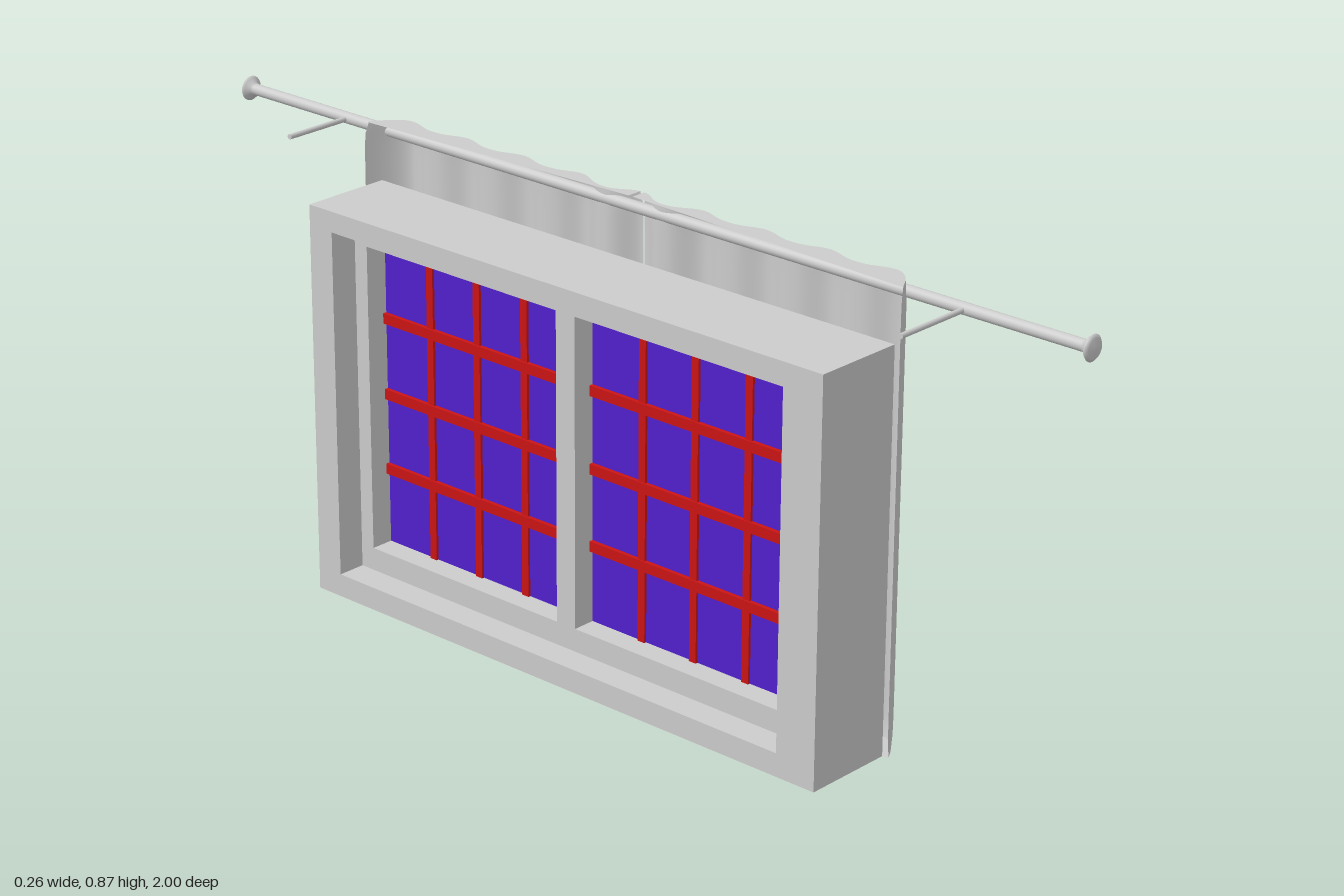
import * as THREE from 'three';

const grey = new THREE.MeshStandardMaterial({ color: 0xcccccc });
const cloth = new THREE.MeshStandardMaterial({ color: 0xcccccc, side: THREE.DoubleSide });
const glassMat = new THREE.MeshStandardMaterial({ color: 0x5120cc });
const barMat = new THREE.MeshStandardMaterial({ color: 0xcc1414 });

function add(parent, name, geometry, material = grey) {
  const mesh = new THREE.Mesh(geometry, material);
  mesh.name = name;
  parent.add(mesh);
  return mesh;
}

// Box given by its limits on each axis
function box(parent, name, [x0, x1], [y0, y1], [z0, z1], material) {
  const mesh = add(parent, name, new THREE.BoxGeometry(x1 - x0, y1 - y0, z1 - z0), material);
  mesh.position.set((x0 + x1) / 2, (y0 + y1) / 2, (z0 + z1) / 2);
  return mesh;
}

// Rectangular frame in the z-y plane with rectangular holes, extruded along x
function frame(parent, name, [x0, x1], outer, holes) {
  const trace = (path, [z0, z1, y0, y1]) =>
    path.moveTo(z0, y0).lineTo(z1, y0).lineTo(z1, y1).lineTo(z0, y1).closePath();
  const shape = new THREE.Shape();
  trace(shape, outer);
  for (const h of holes) {
    const path = new THREE.Path();
    trace(path, h);
    shape.holes.push(path);
  }
  const geo = new THREE.ExtrudeGeometry(shape, { depth: x1 - x0, bevelEnabled: false });
  geo.rotateY(-Math.PI / 2).translate(x1, 0, 0);
  return add(parent, name, geo);
}

// Grid surface from point(u, v)
function surface(nu, nv, point) {
  const pos = [], idx = [];
  for (let j = 0; j <= nv; j++)
    for (let i = 0; i <= nu; i++) pos.push(...point(i / nu, j / nv));
  for (let j = 0; j < nv; j++)
    for (let i = 0; i < nu; i++) {
      const a = j * (nu + 1) + i, b = a + nu + 1;
      idx.push(a, a + 1, b, b, a + 1, b + 1);
    }
  const geo = new THREE.BufferGeometry();
  geo.setAttribute('position', new THREE.Float32BufferAttribute(pos, 3));
  geo.setIndex(idx);
  geo.computeVertexNormals();
  return geo;
}

const START = 0.001, END = 0.636, LAST_CREST = 0.575, PITCH = 0.1437;
const MIDDLE = (START + END) / 2;

// Depth of the pleated cloth at distance d from the seam: shallow, deepest beside the seam
function pleat(d) {
  if (d > LAST_CREST) {
    const t = (d - LAST_CREST) / (END - LAST_CREST);
    return 0.127 - 0.069 * t * t;
  }
  const trough = 0.106 - 0.016 * Math.max(0, 1 - d / 0.2);
  const crest = Math.pow((1 + Math.cos((2 * Math.PI * d) / PITCH)) / 2, 1.3);
  return trough + (0.126 - trough) * crest;
}

// Point on the cloth, drawn in slightly at the top and bottom hems
function clothPoint(d, v) {
  const hem = Math.pow(Math.abs(2 * v - 1), 30);
  const x = pleat(d);
  return [
    x + (0.1 - x) * 0.2 * hem,
    0.003 + 0.871 * v,
    d + (MIDDLE - d) * 0.012 * hem,
  ];
}

function curtain(parent, side) {
  const group = new THREE.Group();
  group.name = side > 0 ? 'leftCurtain' : 'rightCurtain';
  const at = u => START + (END - START) * u;
  add(group, 'pleatedCloth', surface(120, 40, (u, v) => {
    const [x, y, d] = clothPoint(at(u), v);
    return [x, y, side * d];
  }), cloth);
  // Flat closures between the pleats and the straight line behind them
  for (const v of [0, 1])
    add(group, v ? 'topClosure' : 'bottomClosure', surface(120, 1, (u, w) => {
      const [x, y, d] = clothPoint(at(u), v);
      const back = Math.min(x, 0.09 - 0.028 * u);
      return [x + (back - x) * w, y, side * d];
    }), cloth);
  parent.add(group);
}

export function createModel() {
  const model = new THREE.Group();
  model.name = 'curtainedWindow';

  // Window: deep outer frame, inner sash with two lights
  const win = new THREE.Group();
  win.name = 'window';
  model.add(win);
  const opening = [-0.528, 0.545, 0.055, 0.735];
  const panes = [[-0.497, -0.024, 0.1, 0.7], [0.021, 0.51, 0.1, 0.7]];
  frame(win, 'outerFrame', [-0.133, 0.051], [-0.585, 0.63, 0.01, 0.775], [opening]);
  frame(win, 'sash', [-0.076, 0.02], opening, panes);

  // Glass with a grid of glazing bars
  for (const [z0, z1, y0, y1] of panes) {
    box(win, 'glass', [-0.03, -0.022], [y0, y1], [z0, z1], glassMat);
    for (let i = 1; i < 4; i++) {
      const z = z0 + ((z1 - z0) * i) / 4, y = y0 + ((y1 - y0) * i) / 4;
      box(win, 'verticalBar', [-0.035, -0.017], [y0, y1], [z - 0.008, z + 0.008], barMat);
      box(win, 'horizontalBar', [-0.038, -0.014], [y - 0.01, y + 0.01], [z0, z1], barMat);
    }
  }

  // Curtain rod with flared end caps
  const rod = new THREE.Group();
  rod.name = 'curtainRod';
  rod.position.set(0.103, 0.851, 0);
  model.add(rod);
  add(rod, 'pole', new THREE.CylinderGeometry(0.011, 0.011, 1.96, 24).rotateX(Math.PI / 2));
  const profile = [[0.011, 0], [0.013, 0.006], [0.021, 0.012], [0.024, 0.016], [0.018, 0.021], [0, 0.023]]
    .map(([r, h]) => new THREE.Vector2(r, h));
  for (const s of [1, -1]) {
    const cap = add(rod, 'endCap', new THREE.LatheGeometry(profile, 24));
    cap.rotation.x = (s * Math.PI) / 2;
    cap.position.z = s * 0.977;
  }

  // Wall brackets
  for (const [z, x0] of [[-0.725, -0.048], [0.735, -0.067]]) {
    const arm = add(model, 'bracket', new THREE.CylinderGeometry(0.005, 0.005, 0.1 - x0, 16).rotateZ(Math.PI / 2));
    arm.position.set((0.1 + x0) / 2, 0.851, z);
  }

  curtain(model, 1);
  curtain(model, -1);
  return model;
}
